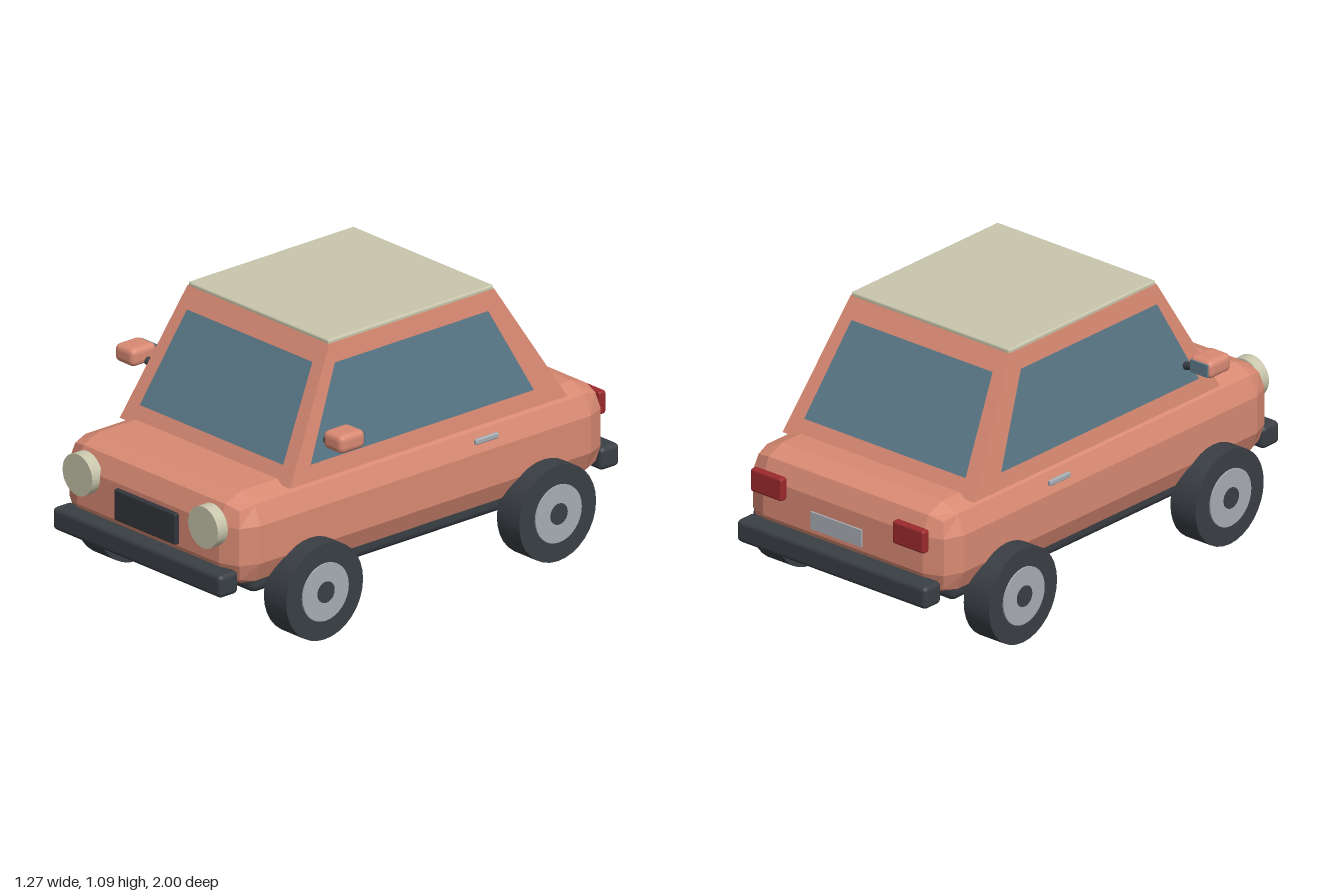
import * as THREE from 'three';
import { RoundedBoxGeometry } from 'three/addons/geometries/RoundedBoxGeometry.js';

const paint = (name, color, extra = {}) => {
  const m = new THREE.MeshStandardMaterial({ color, ...extra });
  m.name = name;
  return m;
};

// Cabin outline at its base and at the top
const BASE = { y: 0.59, x: 0.475, front: 0.655, back: -0.73 };
const TOP = { y: 1.075, x: 0.395, front: 0.388, back: -0.437 };
const cabinAt = (y, key) => THREE.MathUtils.mapLinear(y, BASE.y, TOP.y, BASE[key], TOP[key]);

export function createModel() {
  const car = new THREE.Group();
  car.name = 'car';

  const coral = paint('coral paint', 0xd98a73, { flatShading: true });
  const cream = paint('cream', 0xc8c6ac);
  const glass = paint('glass', 0x5a7888);
  const dark = paint('dark rubber', 0x3a3f45);
  const grilleDark = paint('grille black', 0x33363c);
  const silver = paint('silver', 0xa8aeb4);
  const red = paint('tail red', 0x9c2a2d);

  const add = (name, geometry, material, x = 0, y = 0, z = 0, parent = car) => {
    const mesh = new THREE.Mesh(geometry, material);
    mesh.name = name;
    mesh.position.set(x, y, z);
    parent.add(mesh);
    return mesh;
  };
  // Rounded block given by its size and centre
  const block = (name, size, radius, material, at, segments = 2) =>
    add(name, new RoundedBoxGeometry(...size, segments, radius), material, ...at);

  // Lower body and underside
  block('body', [1.01, 0.37, 1.87], 0.11, coral, [0, 0.42, 0.004], 1);
  block('underside', [0.88, 0.12, 1.62], 0.03, dark, [0, 0.255, 0]);

  // Cabin: a box tapered towards the roof
  const cabin = new THREE.BoxGeometry(1, 1, 1);
  const p = cabin.attributes.position;
  for (let i = 0; i < p.count; i++) {
    const level = p.getY(i) > 0 ? TOP : BASE;
    p.setXYZ(i, Math.sign(p.getX(i)) * level.x, level.y, p.getZ(i) > 0 ? level.front : level.back);
  }
  cabin.computeVertexNormals();
  add('cabin', cabin, coral);
  block('roof', [0.785, 0.022, 0.826], 0.008, cream, [0, 1.079, -0.025]);

  // Windows: flat panes lying just outside the sloping cabin walls,
  // corners listed anticlockwise as seen from outside
  const pane = (name, corners) => {
    const g = new THREE.BufferGeometry();
    g.setAttribute('position', new THREE.Float32BufferAttribute(corners.flat(), 3));
    g.setIndex([0, 1, 2, 0, 2, 3]);
    g.computeVertexNormals();
    add(name, g, glass);
  };
  const low = 0.655, high = 1.002, gap = 0.003;
  for (const [name, key, s] of [['windshield', 'front', 1], ['rearWindow', 'back', -1]]) {
    const zl = cabinAt(low, key) + s * gap, zh = cabinAt(high, key) + s * gap;
    pane(name, [[-s * 0.4, low, zl], [s * 0.4, low, zl], [s * 0.35, high, zh], [-s * 0.35, high, zh]]);
  }
  for (const s of [1, -1]) {
    const xl = s * (cabinAt(low, 'x') + gap), xh = s * (cabinAt(high, 'x') + gap);
    const corners = [[xl, low, 0.545], [xl, low, -0.57], [xh, high, -0.393], [xh, high, 0.373]];
    pane(s > 0 ? 'leftWindow' : 'rightWindow', s > 0 ? corners : corners.reverse());
  }

  // Bumpers
  block('frontBumper', [0.94, 0.092, 0.096], 0.02, dark, [0, 0.282, 0.952]);
  block('rearBumper', [0.94, 0.092, 0.096], 0.02, dark, [0, 0.282, -0.952]);

  // Grille and rear plate
  block('grille', [0.345, 0.125, 0.035], 0.008, grilleDark, [0, 0.415, 0.94]);
  add('rearPlate', new THREE.BoxGeometry(0.25, 0.07, 0.008), silver, 0, 0.418, -0.966);

  // Wheel: tyre, rim and hub along the axle
  const disc = (radius, width) => new THREE.CylinderGeometry(radius, radius, width, 32).rotateZ(Math.PI / 2);
  const tyre = disc(0.192, 0.125), rim = disc(0.115, 0.138), hub = disc(0.042, 0.144);

  for (const s of [1, -1]) {
    const side = s > 0 ? 'left' : 'right';
    for (const [end, z] of [['Front', 0.582], ['Rear', -0.582]]) {
      const wheel = new THREE.Group();
      wheel.name = `${side}${end}Wheel`;
      wheel.position.set(s * 0.524, 0.192, z);
      add('tyre', tyre, dark, 0, 0, 0, wheel);
      add('rim', rim, silver, 0, 0, 0, wheel);
      add('hub', hub, dark, 0, 0, 0, wheel);
      car.add(wheel);
    }

    // Lamps
    const lamp = new THREE.CylinderGeometry(0.083, 0.083, 0.05, 32).rotateX(Math.PI / 2);
    add(`${side}Headlight`, lamp, cream, s * 0.35, 0.485, 0.953);
    block(`${side}TailLight`, [0.156, 0.093, 0.035], 0.01, red, [s * 0.352, 0.49, -0.948]);

    // Door handle
    block(`${side}DoorHandle`, [0.016, 0.023, 0.115], 0.006, silver, [s * 0.512, 0.548, -0.293]);

    // Wing mirror on a short arm
    const arm = add(`${side}MirrorArm`, new THREE.CylinderGeometry(0.016, 0.016, 0.1, 12), dark,
      s * 0.516, 0.75, 0.468);
    arm.rotation.z = -s * 1.27;
    block(`${side}Mirror`, [0.108, 0.072, 0.125], 0.022, coral, [s * 0.581, 0.776, 0.48]);
    add(`${side}MirrorGlass`, new THREE.BoxGeometry(0.085, 0.05, 0.008), glass, s * 0.581, 0.776, 0.416);
  }
  return car;
}
